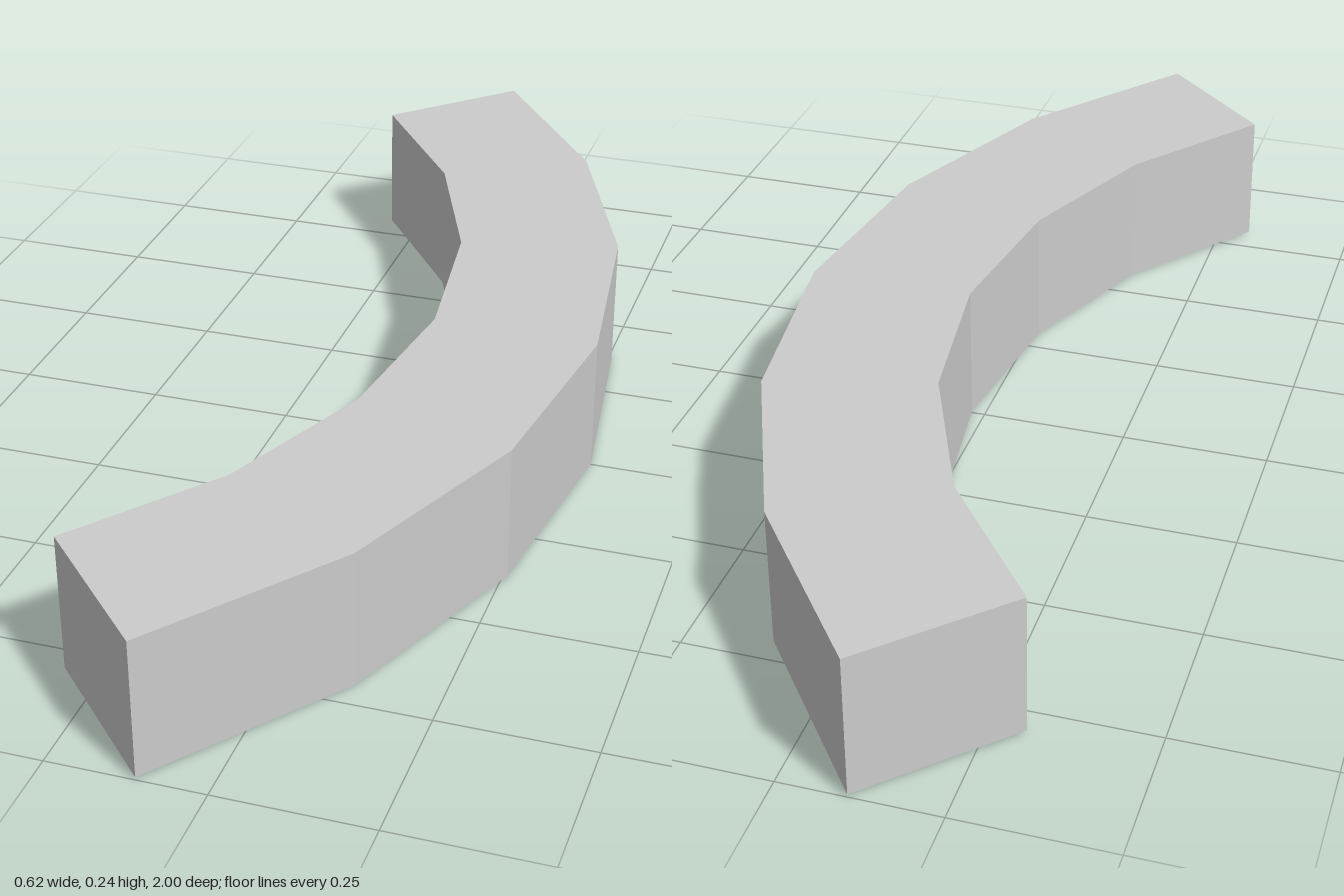
import * as THREE from 'three';

export function createModel() {
  const group = new THREE.Group();
  group.name = 'curvedBlock';

  const outer = Math.SQRT2, inner = 0.8 * Math.SQRT2;
  const centreX = 0.3057 - outer;
  const height = 0.235, tilt = 0.0114, steps = 6;

  // Quarter-ring outline: outer arc one way, inner arc back
  const arc = (radius) => Array.from({ length: steps + 1 }, (_, i) => {
    const a = -Math.PI / 4 + (i / steps) * Math.PI / 2;
    return new THREE.Vector2(centreX + radius * Math.cos(a), radius * Math.sin(a));
  });
  const outline = new THREE.Shape([...arc(outer), ...arc(inner).reverse()]);

  // Extruded upward, then leaned very slightly toward +x
  const geometry = new THREE.ExtrudeGeometry(outline, { depth: height, bevelEnabled: false });
  geometry.rotateX(-Math.PI / 2);
  geometry.rotateZ(-tilt);
  geometry.translate(0, 0.3057 * Math.sin(tilt), 0);

  const block = new THREE.Mesh(
    geometry,
    new THREE.MeshStandardMaterial({ color: 0xcccccc, flatShading: true })
  );
  block.name = 'arcSegment';
  group.add(block);
  return group;
}
